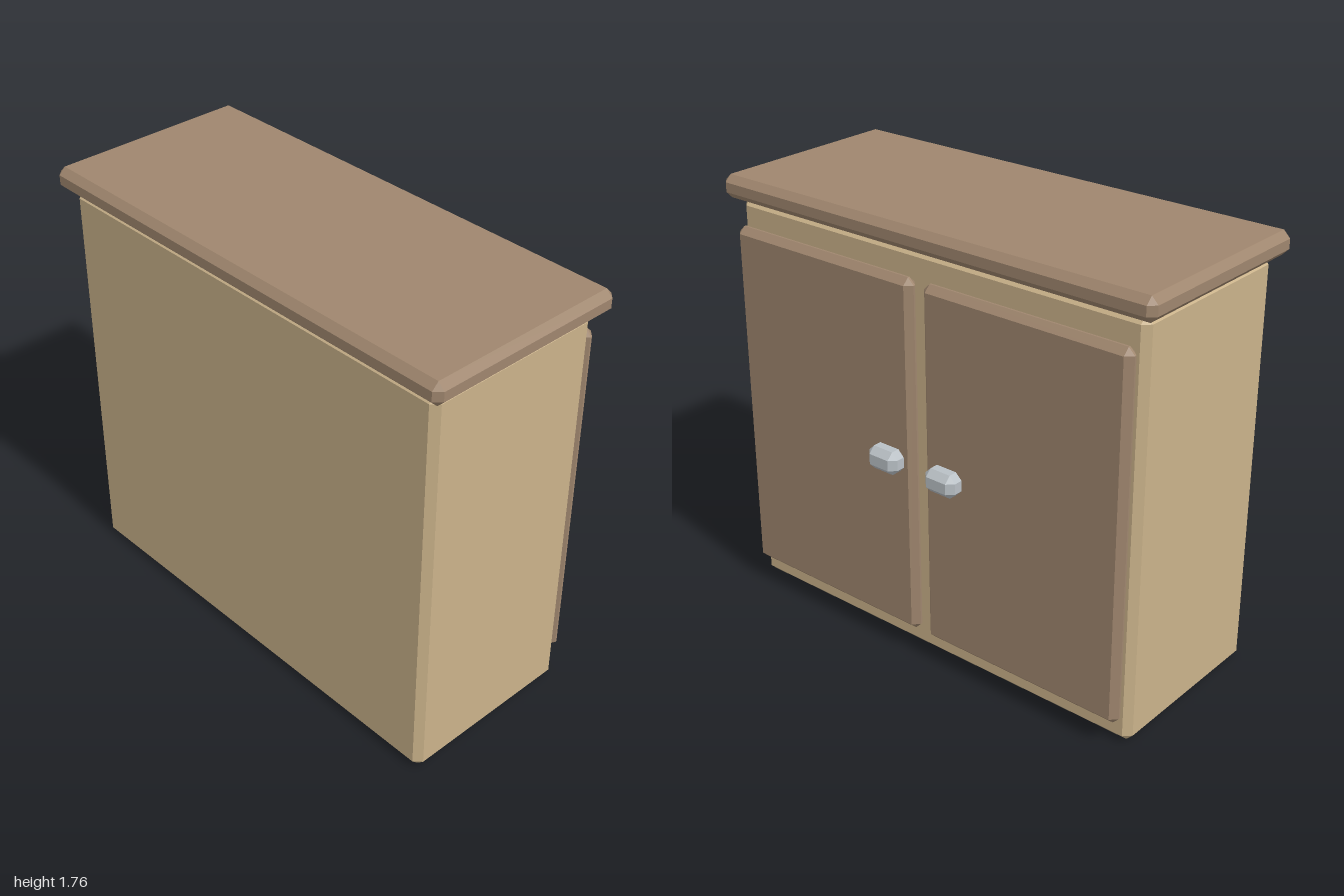
import * as THREE from 'three';
import { ConvexGeometry } from 'three/addons/geometries/ConvexGeometry.js';

const material = (color) => new THREE.MeshStandardMaterial({ color, flatShading: true });

// Box between two corners with every edge chamfered by c
function chamferBox(name, min, max, c, mat) {
  const center = min.map((v, i) => (v + max[i]) / 2);
  const half = min.map((v, i) => (max[i] - v) / 2);
  const points = [];
  for (const sx of [-1, 1]) for (const sy of [-1, 1]) for (const sz of [-1, 1]) {
    const s = [sx, sy, sz];
    // three points per corner, one on each of its faces
    for (let face = 0; face < 3; face++) {
      points.push(new THREE.Vector3(...s.map((d, i) => d * (half[i] - (i === face ? 0 : c)))));
    }
  }
  const mesh = new THREE.Mesh(new ConvexGeometry(points), mat);
  mesh.name = name;
  mesh.position.set(...center);
  return mesh;
}

export function createModel() {
  const group = new THREE.Group();
  group.name = 'cabinet';
  const paleWood = material(0xcab28a);
  const brownWood = material(0x9f866e);
  const metal = material(0xb9c0c5);

  // Carcass and overhanging top
  group.add(chamferBox('body', [-0.42, 0, -0.95], [0.34, 1.67, 0.95], 0.028, paleWood));
  group.add(chamferBox('top', [-0.465, 1.67, -1], [0.39, 1.763, 1], 0.027, brownWood));

  // Pair of doors on the +x side, each with a knob near the middle
  for (const side of [-1, 1]) {
    const label = side > 0 ? 'front' : 'back';
    const span = (a, b) => [side * a, side * b].sort((p, q) => p - q);
    const [d0, d1] = span(0.025, 0.928);
    group.add(chamferBox(label + 'Door', [0.34, 0.1, d0], [0.4, 1.573, d1], 0.026, brownWood));
    const [k0, k1] = span(0.07, 0.214);
    group.add(chamferBox(label + 'Knob', [0.365, 0.79, k0], [0.461, 0.885, k1], 0.026, metal));
  }
  return group;
}
